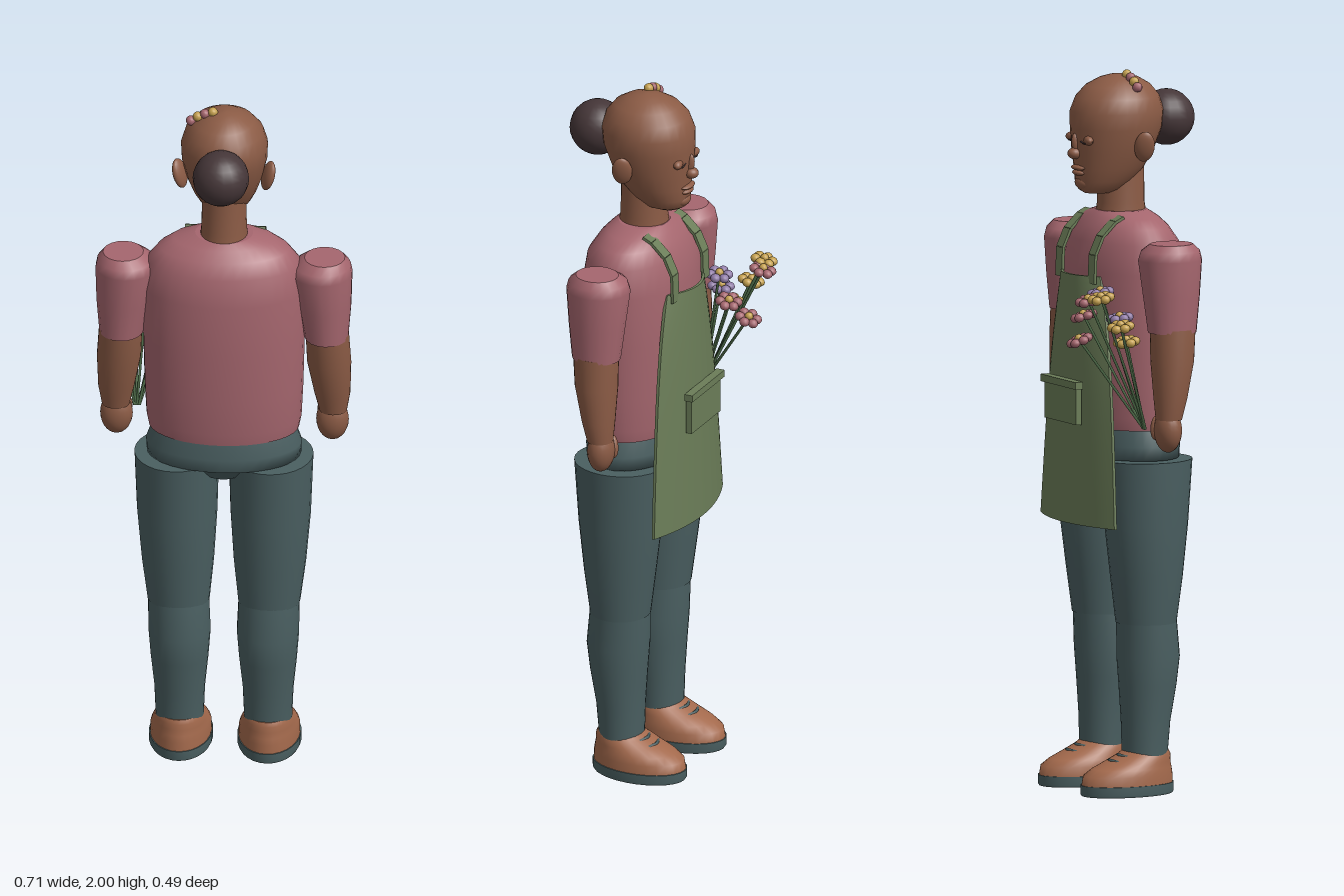
import * as THREE from 'three';

const mat = (name, color) => {
  const m = new THREE.MeshStandardMaterial({ color });
  m.name = name;
  return m;
};
const M = {
  skin: mat('skin', 0x8b5b45), pink: mat('pink cloth', 0xa5666e), teal: mat('teal cloth', 0x4a5f61),
  hair: mat('dark hair', 0x453638), apron: mat('apron green', 0x6b7d58), shoe: mat('shoe brown', 0xa3694c),
  yellow: mat('yellow petal', 0xc4a04e), purple: mat('purple petal', 0x8f7ba6), stem: mat('stem green', 0x4d6b48),
};

// Closed body from elliptical rings [y, rx, rz, cx, cz], listed from bottom to top
function loft(rings, seg = 28) {
  const pos = [], idx = [];
  const addRing = ([y, rx, rz, cx = 0, cz = 0]) => {
    const start = pos.length / 3;
    for (let j = 0; j < seg; j++) {
      const t = (j / seg) * Math.PI * 2;
      pos.push(cx + rx * Math.sin(t), y, cz + rz * Math.cos(t));
    }
    return start;
  };
  const starts = rings.map(addRing);
  for (let i = 0; i < rings.length - 1; i++) {
    for (let j = 0; j < seg; j++) {
      const k = (j + 1) % seg, a = starts[i], d = starts[i + 1];
      idx.push(a + j, a + k, d + k, a + j, d + k, d + j);
    }
  }
  // Flat caps with their own vertices keep a sharp rim
  [rings[0], rings[rings.length - 1]].forEach((r, top) => {
    const s = addRing(r), c = pos.length / 3;
    pos.push(r[3] || 0, r[0], r[4] || 0);
    for (let j = 0; j < seg; j++) {
      const k = (j + 1) % seg;
      if (top) idx.push(c, s + j, s + k);
      else idx.push(c, s + k, s + j);
    }
  });
  const g = new THREE.BufferGeometry();
  g.setAttribute('position', new THREE.Float32BufferAttribute(pos, 3));
  g.setIndex(idx);
  g.computeVertexNormals();
  return g;
}

function add(parent, name, geo, material, p = [0, 0, 0], scale = [1, 1, 1], rot = [0, 0, 0]) {
  const m = new THREE.Mesh(geo, material);
  m.name = name;
  m.position.set(...p);
  m.scale.set(...scale);
  m.rotation.set(...rot);
  parent.add(m);
  return m;
}

const ball = new THREE.SphereGeometry(1, 20, 14);
const smallBall = new THREE.SphereGeometry(1, 10, 7);
const arc = (pts, r) => new THREE.TubeGeometry(
  new THREE.CatmullRomCurve3(pts.map(p => new THREE.Vector3(...p))), 10, r, 6);

function makeHead() {
  const g = new THREE.Group();
  g.name = 'head';
  add(g, 'neck', loft([[1.58, .068, .074, 0, .025], [1.63, .063, .066, 0, .025], [1.74, .06, .065, 0, .025]]), M.skin);
  add(g, 'skull', loft([
    [1.66, .035, .042, 0, -.045], [1.67, .055, .062, 0, -.04], [1.695, .072, .085, 0, -.026], [1.73, .088, .1, 0, -.012],
    [1.78, .105, .117, 0, 0], [1.84, .118, .13, 0, .01], [1.885, .12, .132, 0, .012], [1.925, .108, .118, 0, .014],
    [1.955, .083, .092, 0, .016], [1.975, .05, .056, 0, .018], [1.983, .024, .026, 0, .019], [1.985, .004, .004, 0, .02]]), M.skin);
  add(g, 'nose', ball, M.skin, [0, 1.772, -.12], [.019, .016, .02]);
  add(g, 'noseBridge', ball, M.skin, [0, 1.795, -.112], [.011, .034, .016], [-.2, 0, 0]);
  add(g, 'upperLip', ball, M.skin, [0, 1.732, -.107], [.032, .008, .017]);
  add(g, 'lowerLip', ball, M.skin, [0, 1.718, -.104], [.028, .009, .018]);
  add(g, 'chin', ball, M.skin, [0, 1.69, -.094], [.03, .02, .02]);
  for (const s of [-1, 1]) {
    add(g, 'eyelid', ball, M.skin, [s * .045, 1.812, -.1], [.025, .014, .014], [0, s * .35, 0]);
    add(g, 'lashLine', arc([[s * .024, 1.808, -.114], [s * .045, 1.804, -.114], [s * .067, 1.81, -.1]], .0022), M.hair);
    add(g, 'ear', ball, M.skin, [s * .122, 1.795, .033], [.014, .044, .028], [.1, s * .45, -s * .3]);
  }
  add(g, 'hairBun', new THREE.SphereGeometry(.078, 18, 14), M.hair, [0, 1.855, .168]);
  [[-.092, 1.957], [-.073, 1.97], [-.053, 1.979], [-.031, 1.985]].forEach(([x, y], i) =>
    add(g, 'hairBead', smallBall, i % 2 ? M.yellow : M.pink, [x, y, .027], [.014, .014, .014]));
  return g;
}

function makeArm(s) {
  const g = new THREE.Group();
  g.name = s > 0 ? 'leftArm' : 'rightArm';
  add(g, 'sleeve', loft([
    [1.3, .061, .069, s * .283, .032], [1.4, .074, .08, s * .278, .032], [1.5, .085, .09, s * .27, .032],
    [1.525, .078, .083, s * .272, .032], [1.545, .056, .06, s * .278, .032]], 18), M.pink);
  add(g, 'forearm', loft([
    [1.06, .038, .036, s * .3, .012], [1.12, .05, .046, s * .298, .018],
    [1.22, .061, .06, s * .29, .028], [1.31, .06, .064, s * .285, .032]]), M.skin);
  add(g, 'hand', ball, M.skin, [s * .298, 1.03, .01], [.045, .062, .037]);
  add(g, 'thumb', ball, M.skin, [s * .27, 1.035, -.012], [.014, .034, .016], [.2, 0, s * .2]);
  return g;
}

function makeLeg(s) {
  const g = new THREE.Group(), x = s * .122;
  g.name = s > 0 ? 'leftLeg' : 'rightLeg';
  add(g, 'thigh', loft([
    [.475, .086, .084, s * .125, .036], [.6, .1, .1, s * .127, .036],
    [.75, .111, .117, s * .129, .034], [.93, .117, .13, s * .13, .034]]), M.teal);
  add(g, 'calf', loft([
    [.1, .066, .062, x, .033], [.2, .07, .068, x, .036], [.3, .08, .08, x, .042],
    [.38, .086, .088, x, .044], [.49, .084, .083, s * .125, .037]]), M.teal);
  add(g, 'sole', loft([[0, .085, .135, x, -.022], [.006, .088, .139, x, -.022], [.03, .088, .139, x, -.022]]), M.teal);
  add(g, 'shoe', loft([
    [.03, .085, .136, x, -.022], [.055, .084, .133, x, -.02], [.073, .079, .118, x, -.008],
    [.09, .073, .096, x, .01], [.108, .067, .076, x, .03], [.12, .06, .064, x, .036]]), M.shoe);
  for (const [y, z] of [[.108, -.045], [.095, -.073]])
    add(g, 'lace', arc([[x - .03, y - .003, z + .01], [x, y, z], [x + .03, y - .003, z + .01]], .005), M.teal);
  return g;
}

// Straight rod or ribbon between two points
function between(parent, name, geo, material, a, b) {
  const A = new THREE.Vector3(...a), B = new THREE.Vector3(...b), d = B.clone().sub(A);
  const m = add(parent, name, geo, material, A.clone().add(B).multiplyScalar(.5).toArray(), [1, d.length(), 1]);
  m.quaternion.setFromUnitVectors(new THREE.Vector3(0, 1, 0), d.normalize());
  return m;
}

function makeApron() {
  const g = new THREE.Group();
  g.name = 'apron';
  // Panel narrows toward the bib and wraps around the body
  const panel = new THREE.BoxGeometry(1, 1, .008, 20, 16, 1), p = panel.attributes.position;
  for (let i = 0; i < p.count; i++) {
    const u = p.getX(i) * 2, v = p.getY(i) + .5;
    const half = .212 - .06 * v - .045 * v ** 4;
    p.setXYZ(i, u * half, .75 + .69 * v, p.getZ(i) - .152 + .012 * v + .045 * u * u);
  }
  panel.computeVertexNormals();
  add(g, 'apronPanel', panel, M.apron);
  add(g, 'pocket', new THREE.BoxGeometry(.18, .11, .018), M.apron, [0, 1.085, -.156]);
  add(g, 'pocketHem', new THREE.BoxGeometry(.2, .02, .024), M.apron, [0, 1.14, -.16]);
  const ribbon = new THREE.BoxGeometry(.036, 1, .008);
  const path = [[1.42, -.116], [1.5, -.113], [1.55, -.09], [1.588, -.05], [1.6, -.025]];
  for (const s of [-1, 1])
    for (let i = 0; i < path.length - 1; i++)
      between(g, 'strap', ribbon, M.apron, [s * .093, ...path[i]], [s * .093, ...path[i + 1]]);
  return g;
}

function makeBouquet() {
  const g = new THREE.Group();
  g.name = 'bouquet';
  const flowers = [
    ['pink', -.252, 1.4, -.214], ['yellow', -.294, 1.41, -.197], ['yellow', -.315, 1.33, -.147], ['yellow', -.271, 1.28, -.105],
    ['purple', -.223, 1.34, -.1], ['purple', -.16, 1.405, -.126], ['pink', -.138, 1.34, -.166], ['pink', -.183, 1.28, -.204]];
  const rod = new THREE.CylinderGeometry(.004, .004, 1, 6);
  for (const [color, x, y, z] of flowers) {
    const base = [-.245 + (x + .235) * .08, 1.03, -.035];
    between(g, 'stem', rod, M.stem, base, [x, y, z]);
    const f = new THREE.Group();
    f.name = 'flower';
    f.position.set(x, y, z);
    f.quaternion.setFromUnitVectors(new THREE.Vector3(0, 1, 0),
      new THREE.Vector3(x - base[0], (y - base[1]) * 1.8, z - base[2]).normalize());
    add(f, 'flowerCentre', smallBall, M.yellow, [0, .006, 0], [.012, .012, .012]);
    for (let i = 0; i < 6; i++) {
      const t = (i / 6) * Math.PI * 2;
      add(f, 'petal', smallBall, M[color], [.024 * Math.cos(t), 0, .024 * Math.sin(t)], [.0145, .0125, .0145]);
    }
    g.add(f);
  }
  return g;
}

export function createModel() {
  const model = new THREE.Group();
  model.name = 'gardener';
  add(model, 'shirt', loft([
    [1.015, .207, .132, 0, .03], [1.05, .214, .138, 0, .03], [1.15, .219, .144, 0, .032], [1.3, .223, .148, 0, .032],
    [1.45, .223, .146, 0, .032], [1.53, .212, .132, 0, .032], [1.57, .18, .108, 0, .03], [1.595, .14, .088, 0, .026],
    [1.61, .08, .07, 0, .024]], 36), M.pink);
  add(model, 'hips', loft([
    [.885, .068, .085, 0, .03], [.9, .085, .1, 0, .03], [.928, .115, .122, 0, .03], [.932, .213, .133, 0, .032],
    [.97, .215, .135, 0, .032], [1.025, .196, .125, 0, .032]], 36), M.teal);
  model.add(makeHead(), makeApron(), makeBouquet());
  for (const s of [-1, 1]) model.add(makeArm(s), makeLeg(s));
  return model;
}
